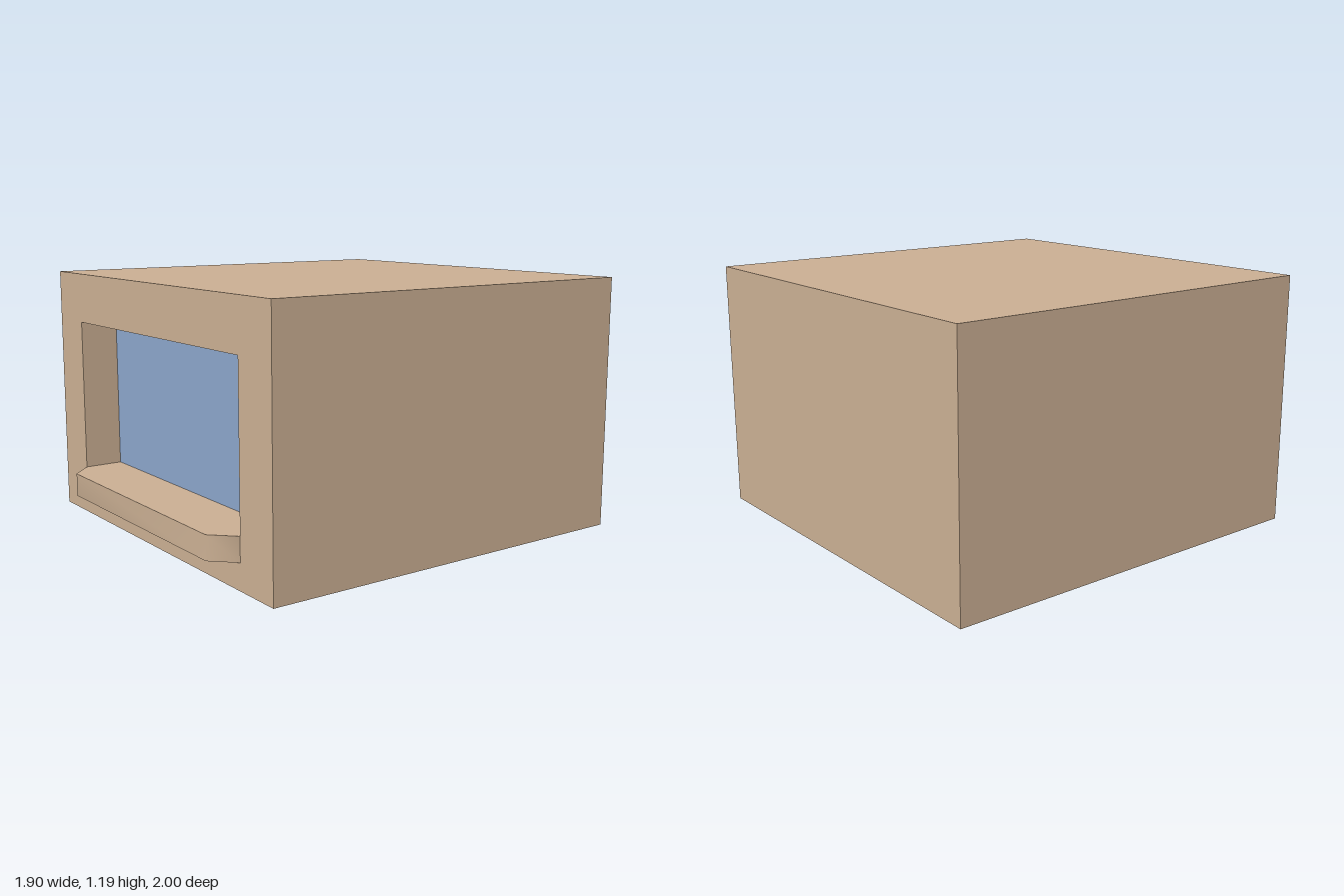
import * as THREE from 'three';
import { toCreasedNormals } from 'three/addons/utils/BufferGeometryUtils.js';

const W = 0.95, H = 1.19;              // half width, height
const BACK = -1, FRONT = 0.9, GLASS = 0.71; // z planes
const OPEN = 0.715, LOW = 0.12, SILL = 0.23, HIGH = 0.955; // opening

const wall = new THREE.MeshStandardMaterial({ color: 0xc9ae92 });
wall.name = 'tan wall';
const glass = new THREE.MeshStandardMaterial({ color: 0x8aa4c9 });
glass.name = 'blue glass';

const shapeOf = (pts) => new THREE.Shape(pts.map(([x, y]) => new THREE.Vector2(x, y)));
const rect = (x, y0, y1) => shapeOf([[-x, y0], [x, y0], [x, y1], [-x, y1]]);
const extrude = (shape, depth) => new THREE.ExtrudeGeometry(shape, { depth, bevelEnabled: false });

export function createModel() {
  const group = new THREE.Group();
  const add = (name, geometry, material) => {
    const mesh = new THREE.Mesh(geometry, material);
    mesh.name = name;
    group.add(mesh);
    return mesh;
  };

  // solid volume behind the window
  add('body', new THREE.BoxGeometry(2 * W, H, GLASS - BACK), wall)
    .position.set(0, H / 2, (GLASS + BACK) / 2);

  // front wall with the window opening
  const frame = rect(W, 0, H);
  frame.holes.push(rect(OPEN, LOW, HIGH));
  add('frontWall', extrude(frame, FRONT - GLASS), wall).position.z = GLASS;

  // recessed pane
  add('windowPane', new THREE.BoxGeometry(2 * OPEN, HIGH - SILL, 0.006), glass)
    .position.set(0, (HIGH + SILL) / 2, GLASS + 0.003);

  // sill filling the foot of the opening, with chamfered front corners
  const plan = shapeOf([
    [-OPEN, -GLASS], [-OPEN, -FRONT], [-OPEN + 0.1, -1],
    [OPEN - 0.1, -1], [OPEN, -FRONT], [OPEN, -GLASS],
  ]);
  const sill = extrude(plan, SILL - LOW).rotateX(-Math.PI / 2);
  add('windowSill', toCreasedNormals(sill, Math.PI * 0.3), wall).position.y = LOW;

  return group;
}
